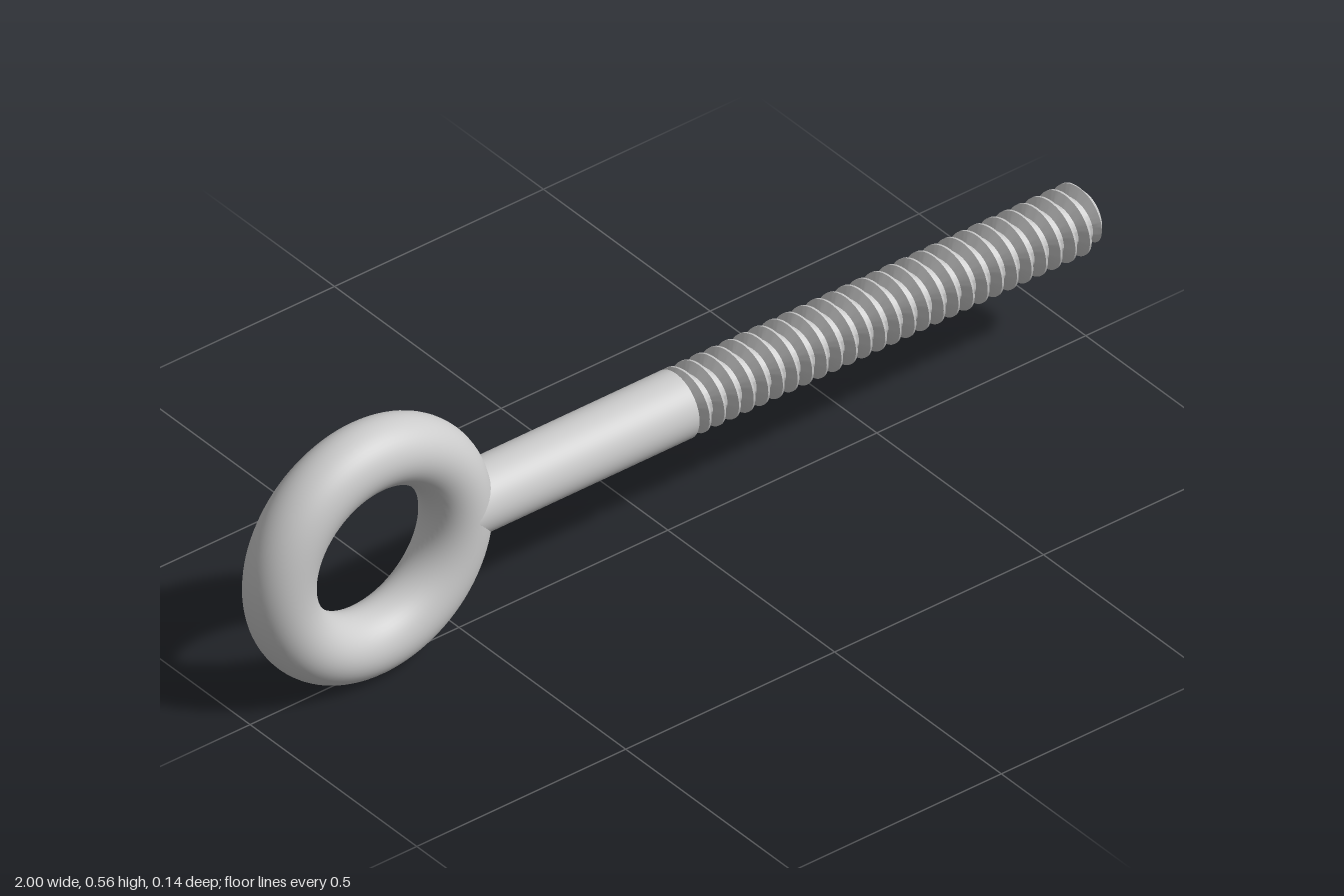
import * as THREE from 'three';
import { toCreasedNormals } from 'three/addons/utils/BufferGeometryUtils.js';

const AXIS_Y = 0.281, ROD_R = 0.07, ROOT_R = 0.049;
const EYE_X = -0.719, EYE_R = 0.211;
const THREAD_START = 0.02, THREAD_END = 1, PITCH = 0.035;

// Radius of the thread at a position within one pitch (0..1), flat root and flat crest
function threadRadius(t) {
  const d = Math.abs(t - Math.floor(t) - 0.5); // 0 at the crest, 0.5 at the root
  const k = THREE.MathUtils.clamp((0.375 - d) / 0.3125, 0, 1);
  return ROOT_R + (ROD_R - ROOT_R) * k;
}

// Helical thread surface: a trapezoid profile swept along the x axis, cut flat at both ends
function threadGeometry() {
  const sides = 64;
  const corners = [0.125, 0.4375, 0.5625, 0.875];
  const turns = Math.ceil((THREAD_END - THREAD_START) / PITCH) + 1;
  const rows = [];
  for (let k = -1; k < turns; k++) for (const c of corners) rows.push(k + c);

  const positions = [], indices = [];
  for (const row of rows) {
    for (let j = 0; j <= sides; j++) {
      const turn = j / sides, a = turn * Math.PI * 2;
      const x = THREE.MathUtils.clamp(THREAD_START + (row + turn) * PITCH, THREAD_START, THREAD_END);
      const chamfer = ROOT_R + (THREAD_END - x) * 1.2;
      const r = Math.min(threadRadius((x - THREAD_START) / PITCH - turn), chamfer);
      positions.push(x, r * Math.cos(a), r * Math.sin(a));
    }
  }
  const w = sides + 1;
  for (let i = 0; i < rows.length - 1; i++) {
    for (let j = 0; j < sides; j++) {
      const a = i * w + j, b = a + 1, c = a + w, d = c + 1;
      for (const tri of [[a, b, c], [b, d, c]]) {
        const xs = tri.map((v) => positions[v * 3]);
        if (Math.max(...xs) - Math.min(...xs) > 1e-6) indices.push(...tri);
      }
    }
  }
  const geometry = new THREE.BufferGeometry();
  geometry.setAttribute('position', new THREE.Float32BufferAttribute(positions, 3));
  geometry.setIndex(indices);
  return toCreasedNormals(geometry, Math.PI / 6);
}

export function createModel() {
  const model = new THREE.Group();
  model.name = 'eyeBolt';
  const material = new THREE.MeshStandardMaterial({ color: 0xcccccc });

  function add(name, geometry, x) {
    const mesh = new THREE.Mesh(geometry, material);
    mesh.name = name;
    mesh.position.set(x, AXIS_Y, 0);
    model.add(mesh);
  }

  // Ring
  add('eye', new THREE.TorusGeometry(EYE_R, ROD_R, 48, 96), EYE_X);

  // Plain shank, starting inside the ring's tube
  const shankStart = EYE_X + EYE_R;
  const shankLength = THREAD_START - shankStart;
  const shank = new THREE.CylinderGeometry(ROD_R, ROD_R, shankLength, 64).rotateZ(-Math.PI / 2);
  add('shank', shank, shankStart + shankLength / 2);

  // Threaded end and its flat tip
  add('thread', threadGeometry(), 0);
  add('threadTip', new THREE.CircleGeometry(ROOT_R, 64).rotateY(Math.PI / 2), THREAD_END);

  return model;
}
